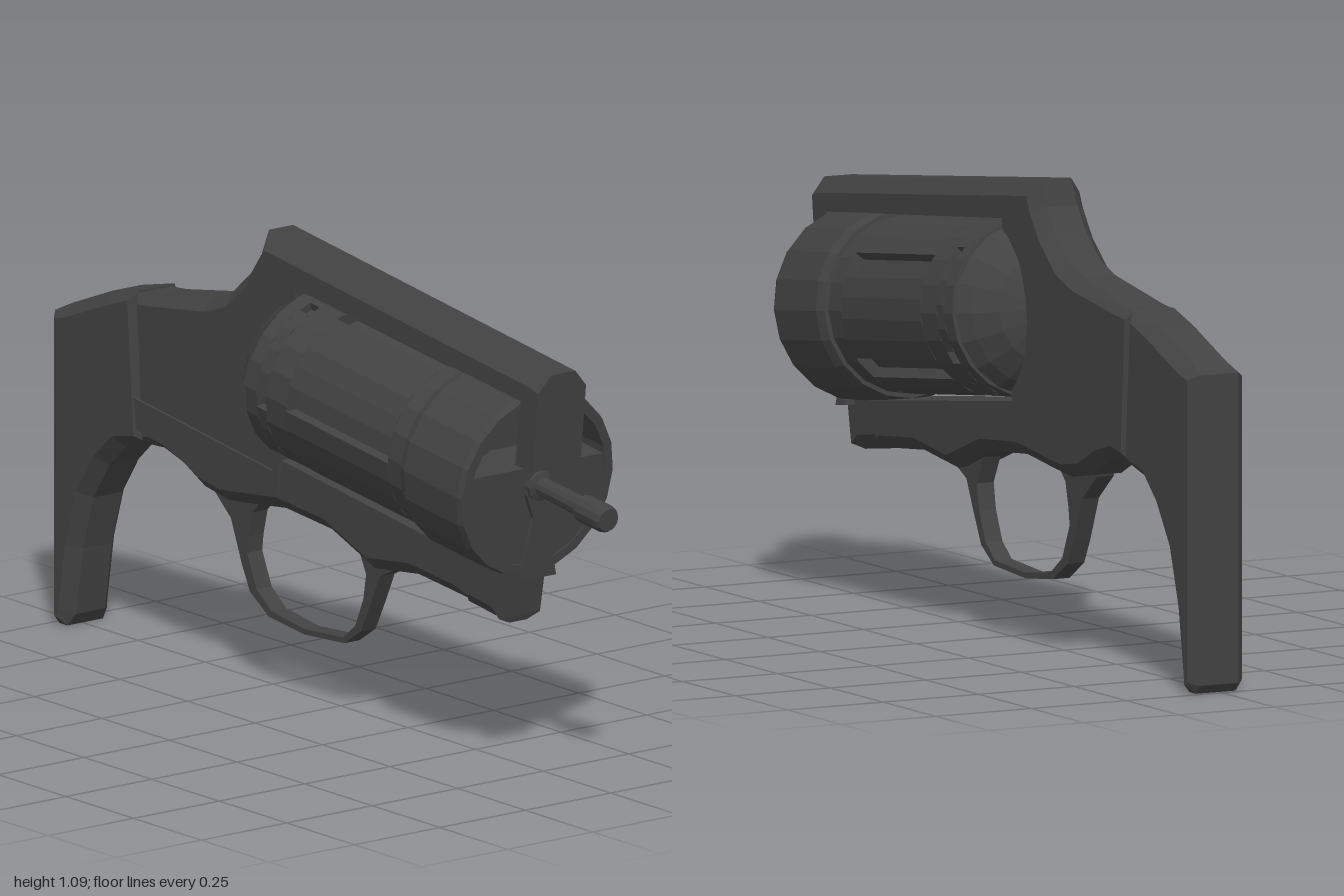
import * as THREE from 'three';

const steel = new THREE.MeshStandardMaterial({ color: 0x424242 });
steel.name = 'dark steel';

function add(parent, name, geometry) {
  const g = geometry.index ? geometry.toNonIndexed() : geometry;
  g.computeVertexNormals(); // faceted look
  const mesh = new THREE.Mesh(g, steel);
  mesh.name = name;
  parent.add(mesh);
  return mesh;
}

// Plate from a counter-clockwise outline of [x, y, chamfer], centred on zc
function plate(points, half, zc = 0) {
  const n = points.length;
  const normal = (a, b) => new THREE.Vector2(a[1] - b[1], b[0] - a[0]).normalize();
  const inner = points.map((p, i) => {
    const n1 = normal(points[(i + n - 1) % n], p);
    const n2 = normal(p, points[(i + 1) % n]);
    const m = n1.clone().add(n2).divideScalar(Math.max(0.5, 1 + n1.dot(n2)));
    return new THREE.Vector2(p[0], p[1]).addScaledVector(m, p[2] || 0);
  });
  const ring = (k, i) => {
    const p = points[i], b = p[2] || 0;
    if (k === 0) return [inner[i].x, inner[i].y, zc - half];
    if (k === 3) return [inner[i].x, inner[i].y, zc + half];
    return [p[0], p[1], zc + (k === 1 ? b - half : half - b)];
  };
  const pos = [];
  for (let k = 0; k < 3; k++) {
    for (let i = 0; i < n; i++) {
      const j = (i + 1) % n;
      const a = ring(k, i), b = ring(k, j), c = ring(k + 1, j), d = ring(k + 1, i);
      pos.push(...a, ...b, ...c, ...a, ...c, ...d);
    }
  }
  for (const [a, b, c] of THREE.ShapeUtils.triangulateShape(inner, [])) {
    pos.push(...ring(3, a), ...ring(3, b), ...ring(3, c));
    pos.push(...ring(0, a), ...ring(0, c), ...ring(0, b));
  }
  const g = new THREE.BufferGeometry();
  g.setAttribute('position', new THREE.Float32BufferAttribute(pos, 3));
  return g;
}

const vecs = (list) => list.map(([x, y]) => new THREE.Vector2(x, y));

// Turned part along local x, profile of [radius, x]
const turned = (profile, sides) => new THREE.LatheGeometry(vecs(profile), sides).rotateZ(-Math.PI / 2);

// Cross-section extruded along local x from x0 to x1
function alongX(shape, x0, x1) {
  const g = new THREE.ExtrudeGeometry(shape, { depth: x1 - x0, bevelEnabled: false, curveSegments: 12 });
  return g.rotateY(Math.PI / 2).translate(x0, 0, 0);
}

// Round section with five notches of half-angle w and given depth
function drumSection(r, w, depth, turn) {
  const pts = [];
  const at = (a, rad) => pts.push(new THREE.Vector2(-Math.cos(a) * rad, Math.sin(a) * rad));
  const step = Math.PI * 2 / 5;
  for (let i = 0; i < 5; i++) {
    const c = turn + i * step;
    at(c - w, r);
    at(c - w, r - depth);
    at(c + w, r - depth);
    at(c + w, r);
    for (let k = 1; k < 4; k++) at(c + w + (step - 2 * w) * k / 4, r);
  }
  return new THREE.Shape(pts);
}

export function createModel() {
  const model = new THREE.Group();
  model.name = 'model';

  // Frame: rear body, lower strap, top rib and front block around an open window
  add(model, 'frame', plate([
    [-0.665, 0.495, 0.02], [-0.6, 0.495, 0.03], [-0.53, 0.475, 0.03], [-0.45, 0.435, 0.03],
    [-0.36, 0.42, 0.03], [-0.27, 0.43, 0.03], [-0.15, 0.445, 0.03], [0.02, 0.43, 0.03],
    [0.1, 0.4, 0.03], [0.18, 0.37, 0.03], [0.34, 0.39, 0.03], [0.54, 0.37, 0.03],
    [0.545, 0.48], [-0.13, 0.567], [-0.08, 0.985], [0.755, 0.89], [0.735, 0.735],
    [0.8, 0.73], [0.82, 0.92], [0.825, 0.96, 0.035], [-0.22, 1.09, 0.035],
    [-0.24, 1.03, 0.03], [-0.28, 0.975, 0.03], [-0.35, 0.915, 0.03], [-0.42, 0.89, 0.03],
    [-0.63, 0.85, 0.02], [-0.685, 0.845, 0.02],
  ], 0.07));

  // Raised lower side panel
  add(model, 'sidePanel', plate([
    [-0.66, 0.53], [-0.56, 0.515], [-0.45, 0.48], [-0.14, 0.48], [-0.13, 0.56],
    [-0.16, 0.538], [-0.67, 0.605],
  ], 0.004, 0.072));

  // Grip with chamfered edges
  add(model, 'grip', plate([
    [-1, 0.02, 0.02], [-0.985, 0, 0.02], [-0.955, 0, 0.02], [-0.935, 0.03, 0.03], [-0.91, 0.19, 0.03],
    [-0.87, 0.32, 0.03], [-0.81, 0.41, 0.03], [-0.75, 0.465, 0.03], [-0.665, 0.495, 0.02],
    [-0.69, 0.85, 0.02], [-0.8, 0.825, 0.03], [-0.95, 0.765, 0.03], [-1, 0.74, 0.02],
  ], 0.072, -0.008));

  // Finger guard: narrow loop under the frame
  const guard = new THREE.Shape(vecs([
    [-0.46, 0.46], [-0.45, 0.43], [-0.38, 0.37], [-0.34, 0.27], [-0.31, 0.21], [-0.24, 0.165],
    [-0.11, 0.15], [0.04, 0.16], [0.1, 0.2], [0.14, 0.28], [0.17, 0.345], [0.26, 0.39], [0.2, 0.46],
  ]));
  guard.holes.push(new THREE.Path(vecs([
    [-0.315, 0.34], [-0.3, 0.4], [-0.26, 0.44], [-0.15, 0.45], [0.02, 0.44], [0.085, 0.41],
    [0.12, 0.34], [0.11, 0.28], [0.08, 0.21], [0.035, 0.173], [-0.11, 0.163], [-0.23, 0.18],
    [-0.285, 0.22], [-0.32, 0.3],
  ])));
  add(model, 'fingerGuard', new THREE.ExtrudeGeometry(guard, { depth: 0.044, bevelEnabled: false })
    .translate(0, 0, -0.024));

  // Lug at the front of the lower strap
  add(model, 'frontLug', plate([
    [0.535, 0.368, 0.03], [0.56, 0.362, 0.035], [0.68, 0.345, 0.035], [0.685, 0.36, 0], [0.705, 0.47], [0.55, 0.485],
  ], 0.06, 0.018));

  // Everything on the tilted axis
  const axis = new THREE.Group();
  axis.name = 'cylinderAssembly';
  axis.position.set(-0.1, 0.775, 0);
  axis.rotation.z = -0.118;
  model.add(axis);

  // Domed shield behind the drum
  add(axis, 'rearShield', turned([
    [0, -0.1], [0.07, -0.1], [0.13, -0.078], [0.18, -0.035], [0.203, -0.004], [0, -0.004],
  ], 18));

  // Drum in slices: plain, small notches, plain, long flutes, plain
  const slices = [
    [0.008, 0.05, 0], [0.05, 0.085, 1], [0.085, 0.16, 0], [0.16, 0.54, 2], [0.54, 0.63, 0],
  ];
  for (const [x0, x1, kind] of slices) {
    const depth = [0, 0.02, 0.028][kind];
    const w = kind === 1 ? 0.08 : 0.15;
    const turn = kind === 1 ? -0.1 : 0.09;
    if (depth) {
      add(axis, 'drumNotched', alongX(drumSection(0.206, w, depth, turn), x0, x1));
    } else {
      add(axis, 'drumBand', turned([[0, x0], [0.206, x0], [0.206, x1], [0, x1]], 20));
    }
  }

  // Front sleeve with a recessed face
  add(axis, 'frontSleeve', turned([
    [0.2, 0.6], [0.216, 0.6], [0.226, 0.625], [0.226, 0.82], [0.22, 0.835],
    [0.197, 0.835], [0.197, 0.7], [0, 0.7],
  ], 20));

  // Flat plate closing the lower part of the sleeve
  const lower = new THREE.Shape();
  lower.absarc(0, 0, 0.2, Math.PI - 0.22, Math.PI * 2 + 0.22, false);
  add(axis, 'lowerFacePlate', alongX(lower, 0.69, 0.832));

  // Chamber rims in the open upper part
  for (const side of [-1, 1]) {
    const rim = add(axis, 'chamberRim', turned([
      [0.058, 0.69], [0.058, 0.73], [0.044, 0.73], [0.044, 0.701],
    ], 12));
    rim.position.set(0, 0.1, side * 0.1);
  }

  // Centre rod with knurled tip
  add(axis, 'centreRod', turned([
    [0, 0.68], [0.036, 0.68], [0.036, 0.85], [0.022, 0.855], [0.024, 1.0], [0.033, 1.01],
    [0.033, 1.09], [0.028, 1.1], [0, 1.1],
  ], 12));

  // Crane arm joining rod and lug
  const arm = new THREE.Shape(vecs([
    [-0.03, 0.04], [-0.035, -0.02], [-0.01, -0.08], [-0.02, -0.14], [-0.03, -0.23],
    [0.07, -0.23], [0.05, -0.15], [0.055, -0.1], [0.02, -0.04], [0.03, 0.04],
  ]));
  add(axis, 'craneArm', alongX(arm, 0.8, 0.842));

  return model;
}
